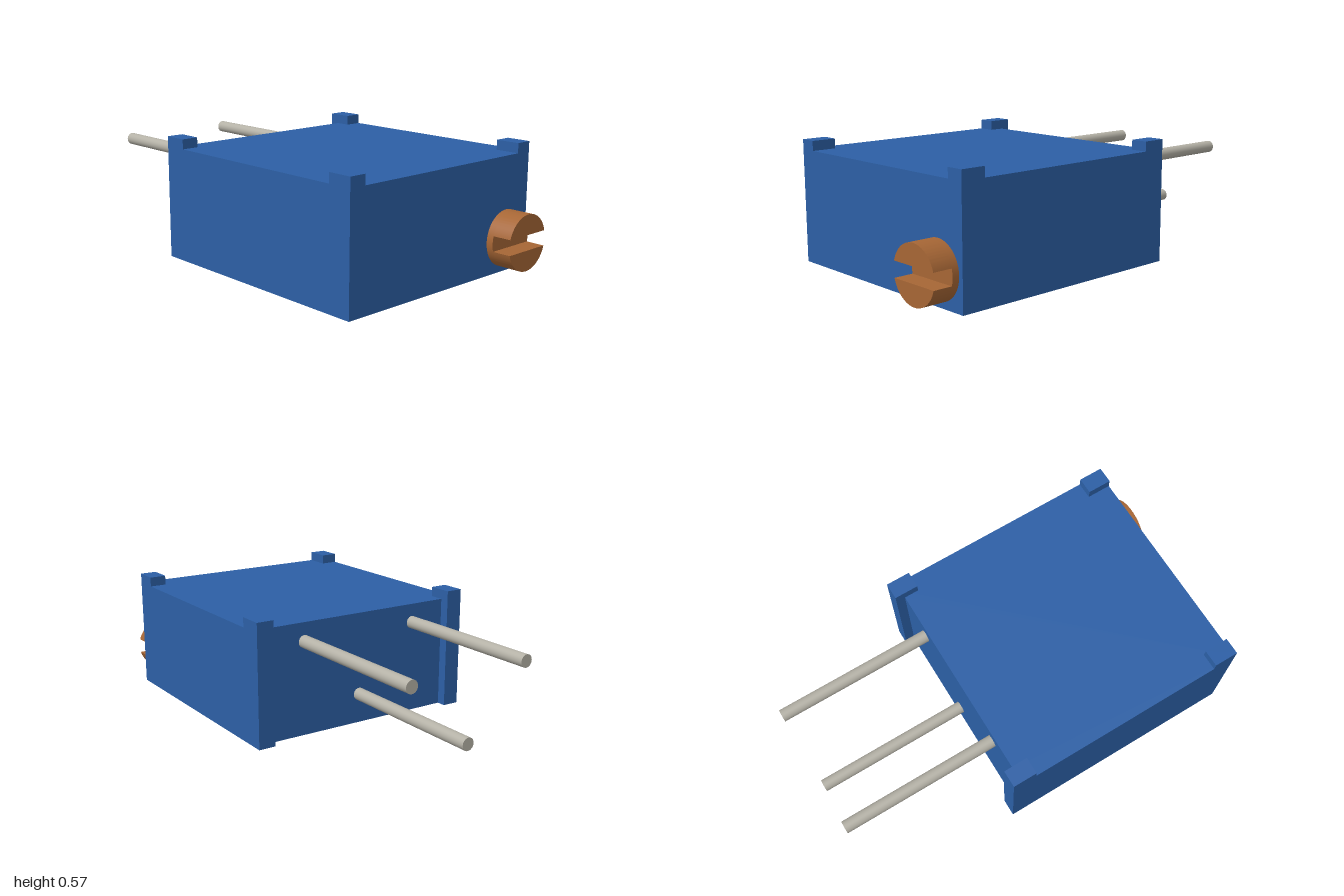
import * as THREE from 'three';
import { toCreasedNormals } from 'three/addons/utils/BufferGeometryUtils.js';

export function createModel() {
  const model = new THREE.Group();
  model.name = 'trimmerPotentiometer';

  const material = (name, color) => {
    const m = new THREE.MeshStandardMaterial({ color });
    m.name = name;
    return m;
  };
  const blue = material('blue plastic', 0x2c5fa5);
  const copper = material('copper screw', 0xa66635);
  const metal = material('pin metal', 0xb4b1a6);

  const add = (name, geometry, mat, x, y, z, parent = model) => {
    const mesh = new THREE.Mesh(geometry, mat);
    mesh.name = name;
    mesh.position.set(x, y, z);
    parent.add(mesh);
    return mesh;
  };

  const W = 0.557, H = 0.522, TOP = 0.567;
  const FRONT = 0.88, BACK = -0.25, RIDGE = -0.295;
  const footW = 0.08, footD = 0.115;

  // Case: plan outline with a ridge at both rear corners, extruded upwards
  const plan = new THREE.Shape([
    [-W, -FRONT], [W, -FRONT], [W, -RIDGE], [W - footW, -RIDGE],
    [W - footW, -BACK], [-W + footW, -BACK], [-W + footW, -RIDGE], [-W, -RIDGE],
  ].map(([x, y]) => new THREE.Vector2(x, y)));
  const caseGeometry = new THREE.ExtrudeGeometry(plan, { depth: H, bevelEnabled: false });
  caseGeometry.rotateX(-Math.PI / 2);
  add('case', caseGeometry, blue, 0, 0, 0);

  // Standoff feet on the four top corners
  const footGeometry = new THREE.BoxGeometry(footW, TOP - H, footD);
  for (const side of [-1, 1]) {
    for (const z of [FRONT - footD / 2, RIDGE + footD / 2]) {
      add('standoffFoot', footGeometry, blue, side * (W - footW / 2), (TOP + H) / 2, z);
    }
  }

  // Three pins, the middle one set lower
  const pinLength = 1 + BACK;
  const pinGeometry = new THREE.CylinderGeometry(0.029, 0.029, pinLength, 24);
  pinGeometry.rotateX(Math.PI / 2);
  for (const [x, y] of [[-0.3, 0.435], [0, 0.138], [0.295, 0.435]]) {
    add('pin', pinGeometry, metal, x, y, BACK - pinLength / 2);
  }

  // Adjustment screw: a disc with two raised halves either side of the slot
  const screw = new THREE.Group();
  screw.name = 'adjustmentScrew';
  screw.position.set(0.408, 0.153, FRONT);
  model.add(screw);

  const R = 0.128, slotHalf = 0.035, baseDepth = 0.032;
  const base = new THREE.CylinderGeometry(R, R, baseDepth, 48);
  base.rotateX(Math.PI / 2);
  add('screwBase', base, copper, 0, 0, baseDepth / 2, screw);

  const a = Math.asin(slotHalf / R);
  const half = new THREE.Shape();
  half.absarc(0, 0, R, a, Math.PI - a, false);
  half.closePath();
  const halfGeometry = toCreasedNormals(
    new THREE.ExtrudeGeometry(half, { depth: 0.12 - baseDepth, bevelEnabled: false, curveSegments: 24 }), 0.6);
  for (const turn of [0, Math.PI]) {
    add('screwHeadHalf', halfGeometry, copper, 0, 0, baseDepth, screw).rotation.z = turn;
  }

  return model;
}
